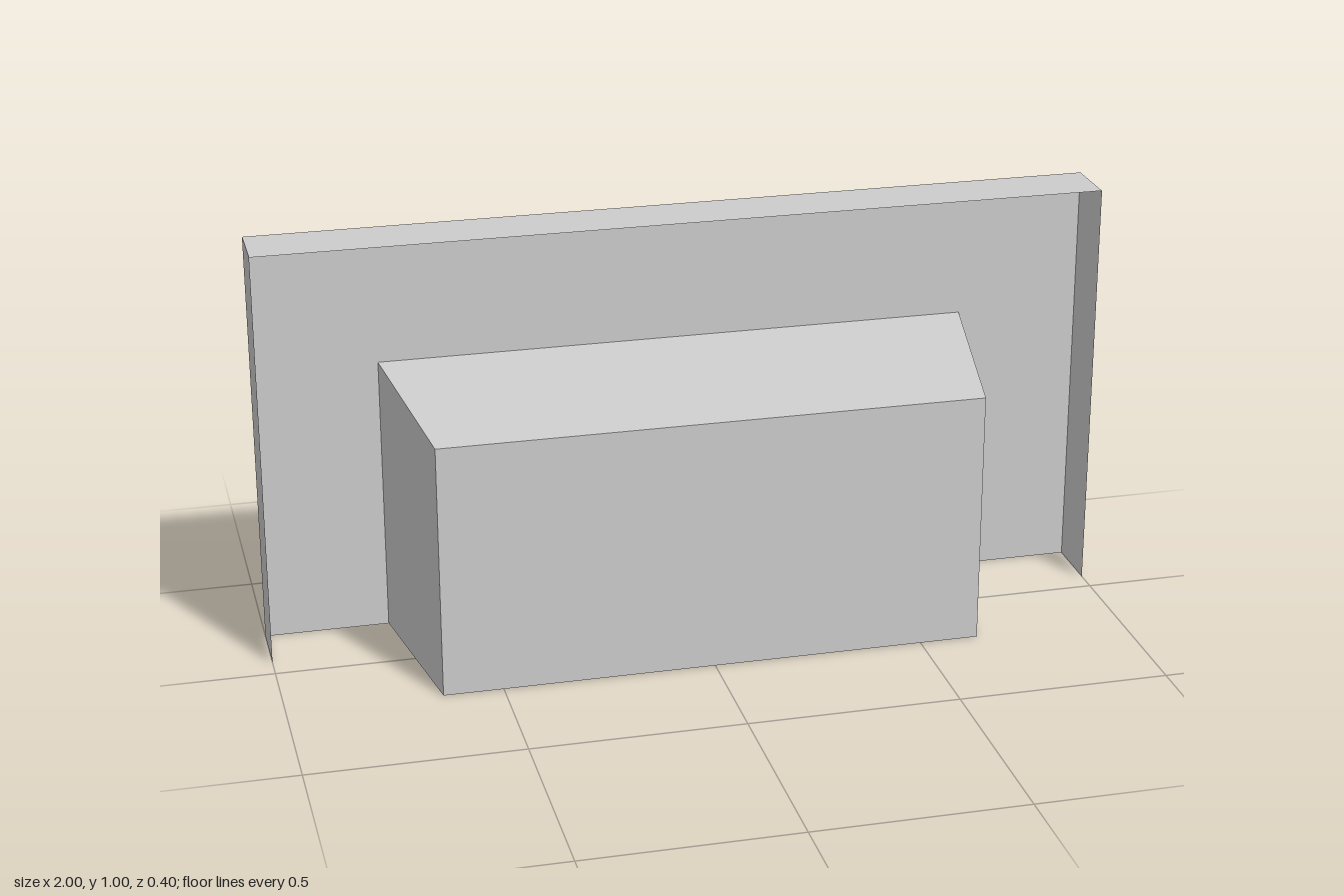
import * as THREE from 'three';

const BACK = -0.202, RIM = -0.056, FRONT = 0.202;
const W = 1, H = 1;               // outer panel half width and height
const BW = 0.705, BH = 0.67;      // opening at the back
const FW = 0.64, FH = 0.61;       // smaller front of the tapered bay

export function createModel() {
  const group = new THREE.Group();
  const grey = new THREE.MeshStandardMaterial({ color: 0xcccccc, side: THREE.DoubleSide });
  grey.name = 'plain grey';

  const add = (name, geometry) => {
    const mesh = new THREE.Mesh(geometry, grey);
    mesh.name = name;
    group.add(mesh);
    return mesh;
  };

  // Flat sheet from four corners, counter-clockwise seen from outside
  const sheet = (name, a, b, c, d) => {
    const g = new THREE.BufferGeometry();
    g.setAttribute('position', new THREE.Float32BufferAttribute([a, b, c, a, c, d].flat(), 3));
    g.computeVertexNormals();
    return add(name, g);
  };

  // Back wall with an opening that reaches the ground
  const outline = [[-W, 0], [-BW, 0], [-BW, BH], [BW, BH], [BW, 0], [W, 0], [W, H], [-W, H]];
  const wall = new THREE.Shape(outline.map(([x, y]) => new THREE.Vector2(x, y)));
  add('backWall', new THREE.ShapeGeometry(wall).rotateY(Math.PI)).position.z = BACK;

  // Rim folded forward along the top and both sides of the wall
  sheet('topFlange', [-W, H, RIM], [W, H, RIM], [W, H, BACK], [-W, H, BACK]);
  sheet('leftFlange', [W, 0, RIM], [W, 0, BACK], [W, H, BACK], [W, H, RIM]);
  sheet('rightFlange', [-W, 0, BACK], [-W, 0, RIM], [-W, H, RIM], [-W, H, BACK]);

  // Hollow tapered bay, open at the back and underneath
  sheet('bayFront', [-FW, 0, FRONT], [FW, 0, FRONT], [FW, FH, FRONT], [-FW, FH, FRONT]);
  sheet('bayTop', [-FW, FH, FRONT], [FW, FH, FRONT], [BW, BH, BACK], [-BW, BH, BACK]);
  sheet('bayLeftSide', [FW, 0, FRONT], [BW, 0, BACK], [BW, BH, BACK], [FW, FH, FRONT]);
  sheet('bayRightSide', [-BW, 0, BACK], [-FW, 0, FRONT], [-FW, FH, FRONT], [-BW, BH, BACK]);

  return group;
}
